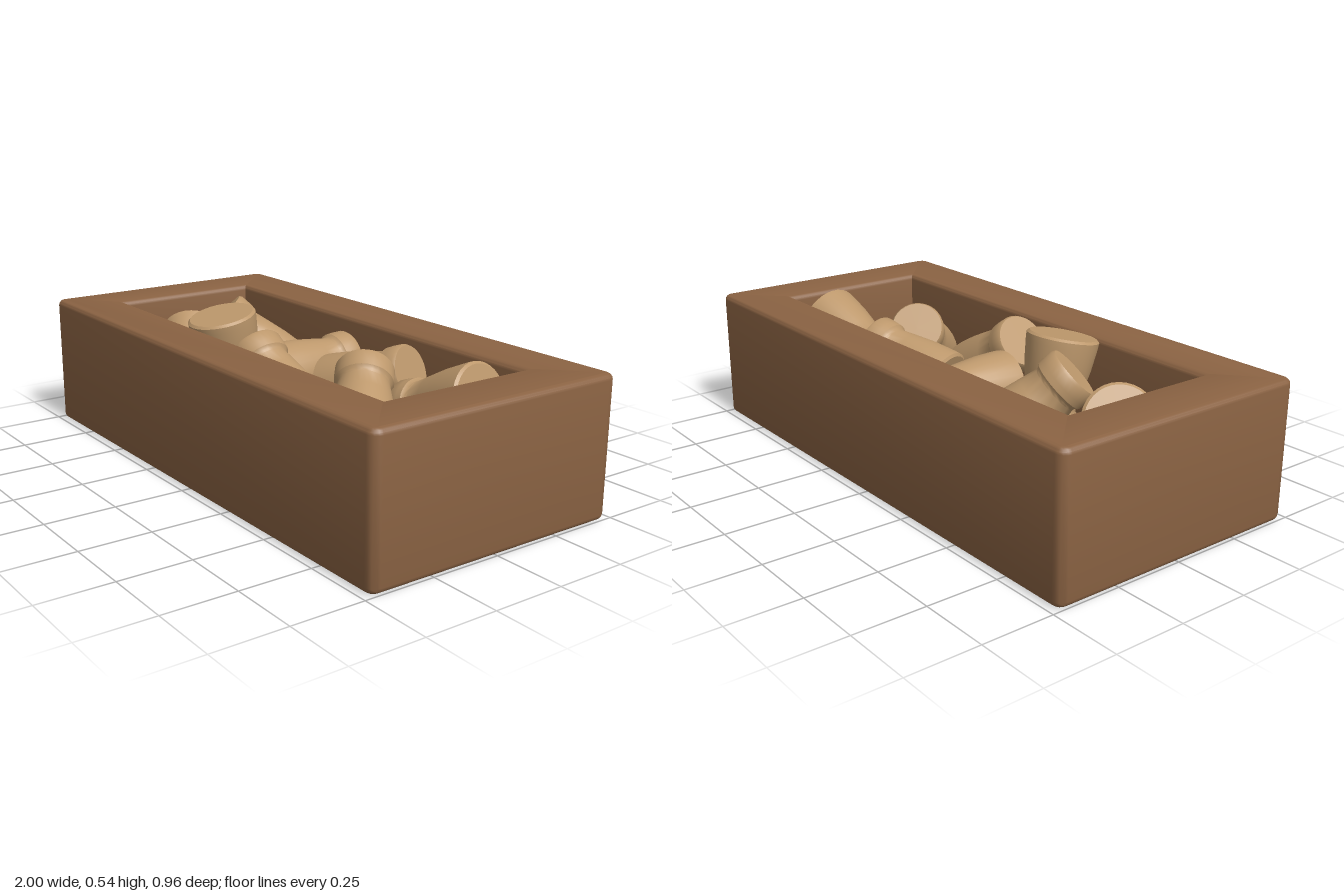
import * as THREE from 'three';
import { toCreasedNormals } from 'three/addons/utils/BufferGeometryUtils.js';

const HEIGHT = 0.485;
const BEVEL = 0.02;

// Trace a rectangle with rounded corners onto a shape or hole path
function roundedRect(path, hx, hz, r) {
  path.moveTo(-hx + r, -hz);
  path.lineTo(hx - r, -hz);
  path.quadraticCurveTo(hx, -hz, hx, -hz + r);
  path.lineTo(hx, hz - r);
  path.quadraticCurveTo(hx, hz, hx - r, hz);
  path.lineTo(-hx + r, hz);
  path.quadraticCurveTo(-hx, hz, -hx, hz - r);
  path.lineTo(-hx, -hz + r);
  path.quadraticCurveTo(-hx, -hz, -hx + r, -hz);
  return path;
}

// Flared stopper along +y: broad foot at y = 0, collared head at the top
function corkGeometry() {
  const profile = [
    [0, 0], [0.116, 0], [0.125, 0.008], [0.124, 0.03], [0.115, 0.11],
    [0.1, 0.19], [0.088, 0.25], [0.09, 0.258], [0.099, 0.268],
    [0.1, 0.29], [0.099, 0.325], [0.093, 0.335], [0, 0.335],
  ].map(([r, y]) => new THREE.Vector2(r, y));
  return toCreasedNormals(new THREE.LatheGeometry(profile, 32), 0.6);
}

export function createModel() {
  const group = new THREE.Group();
  const wood = new THREE.MeshStandardMaterial({ color: 0x8b6343 });
  const corkMaterial = new THREE.MeshStandardMaterial({ color: 0xbd986c });

  // Thick walls with softened edges
  const outline = roundedRect(new THREE.Shape(), 1 - BEVEL, 0.48 - BEVEL, 0.015);
  outline.holes.push(roundedRect(new THREE.Path(), 0.8 + BEVEL, 0.28 + BEVEL, 0.005));
  const wallGeometry = new THREE.ExtrudeGeometry(outline, {
    depth: HEIGHT - 2 * BEVEL, bevelThickness: BEVEL, bevelSize: BEVEL,
    bevelSegments: 4, curveSegments: 4,
  });
  wallGeometry.rotateX(-Math.PI / 2).translate(0, BEVEL, 0);
  const walls = new THREE.Mesh(toCreasedNormals(wallGeometry, 0.6), wood);
  walls.name = 'boxWalls';
  group.add(walls);

  // Floor closing the opening, flush with the underside
  const floor = new THREE.Mesh(new THREE.BoxGeometry(1.64, 0.1, 0.6), wood);
  floor.position.y = 0.05;
  floor.name = 'boxFloor';
  group.add(floor);

  // Jumbled corks: centre of the broad foot, then a point toward the head
  const corks = [
    [[-0.69, 0.35, 0.04], [-0.47, 0.2, 0.19]],
    [[-0.34, 0.23, -0.17], [-0.48, 0.445, 0.01]],
    [[-0.1, 0.3, 0.05], [-0.1, 0.33, -0.28]],
    [[-0.285, 0.513, 0.155], [-0.285, 0.185, 0.085]],
    [[0.08, 0.28, -0.08], [0.37, 0.39, -0.18]],
    [[0.75, 0.392, -0.155], [0.44, 0.29, -0.12]],
    [[0.54, 0.24, 0.165], [0.345, 0.41, -0.01]],
    [[0.21, 0.24, 0.155], [-0.055, 0.43, 0.16]],
  ];
  const geometry = corkGeometry();
  const up = new THREE.Vector3(0, 1, 0);
  corks.forEach(([foot, head], i) => {
    const cork = new THREE.Mesh(geometry, corkMaterial);
    cork.position.set(...foot);
    const axis = new THREE.Vector3(...head).sub(cork.position).normalize();
    cork.quaternion.setFromUnitVectors(up, axis);
    cork.name = `cork${i + 1}`;
    group.add(cork);
  });

  return group;
}
